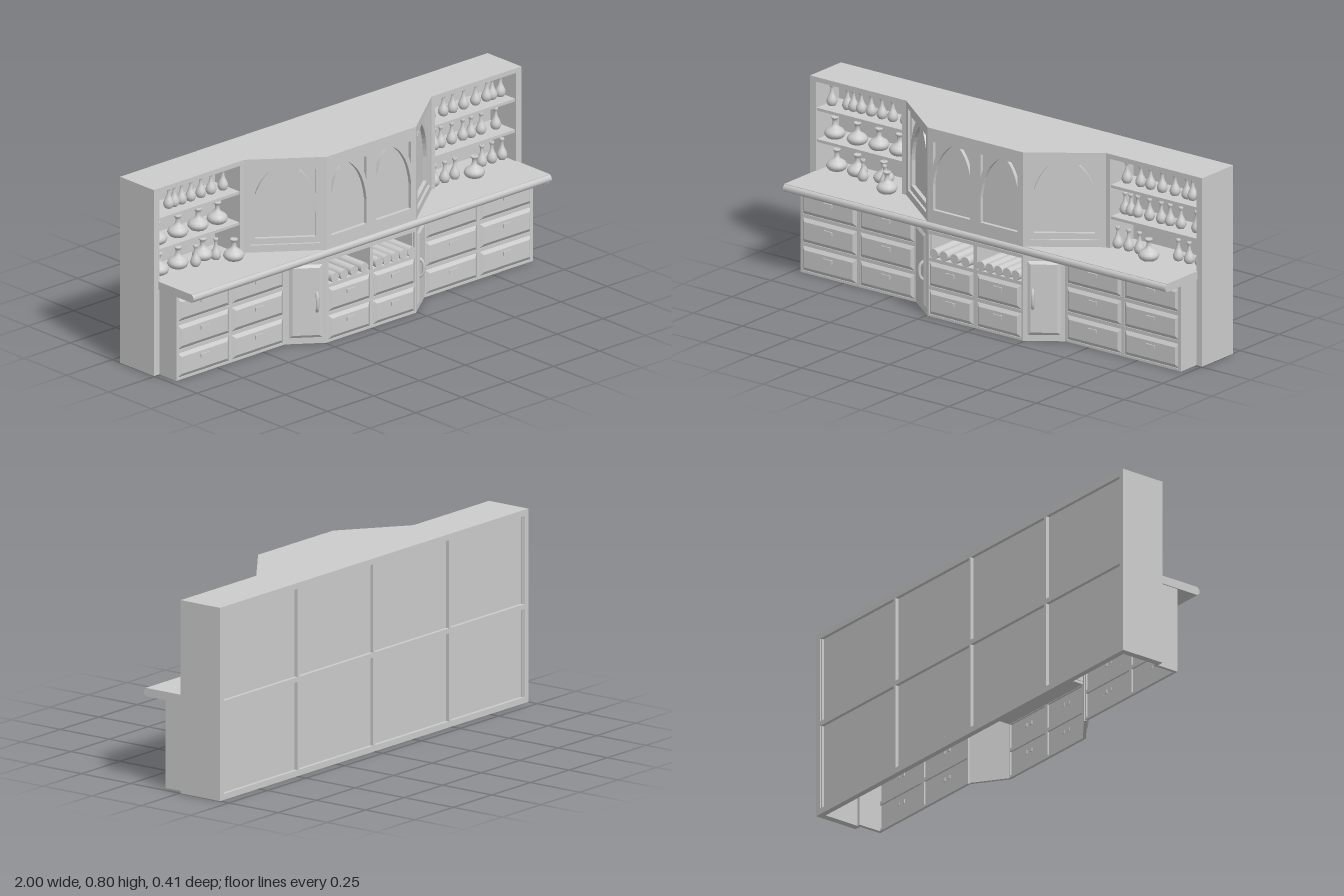
import * as THREE from 'three';

const mat = new THREE.MeshStandardMaterial({ color: 0xcccccc, side: THREE.DoubleSide });

function add(parent, name, geo, x = 0, y = 0, z = 0) {
  const m = new THREE.Mesh(geo, mat);
  m.name = name;
  m.position.set(x, y, z);
  parent.add(m);
  return m;
}

// box given by its min and max corners
function block(parent, name, x0, x1, y0, y1, z0, z1) {
  return add(parent, name, new THREE.BoxGeometry(x1 - x0, y1 - y0, z1 - z0),
    (x0 + x1) / 2, (y0 + y1) / 2, (z0 + z1) / 2);
}

function poly(points) {
  return new THREE.Shape(points.map(p => new THREE.Vector2(...p)));
}
const rect = (x0, x1, y0, y1) => poly([[x0, y0], [x1, y0], [x1, y1], [x0, y1]]);

// flat board with holes, its front at z
function board(parent, name, outline, holes, depth, z) {
  outline.holes = holes;
  const geo = new THREE.ExtrudeGeometry(outline, { depth, bevelEnabled: false, curveSegments: 8 });
  return add(parent, name, geo, 0, 0, z - depth);
}

// upright wall running from one plan point to another; local +z faces out
function wall(parent, name, x0, z0, x1, z1) {
  const g = new THREE.Group();
  g.name = name;
  g.position.set((x0 + x1) / 2, 0, (z0 + z1) / 2);
  g.rotation.y = Math.atan2(z0 - z1, x1 - x0);
  g.userData.width = Math.hypot(x1 - x0, z1 - z0);
  parent.add(g);
  return g;
}

// raised panel with sloping edges
function raisedPanel(parent, name, x0, x1, y0, y1, bevel, rise) {
  const w = x1 - x0, h = y1 - y0;
  const geo = new THREE.BoxGeometry(w, h, rise + 0.004);
  const p = geo.attributes.position;
  for (let i = 0; i < p.count; i++) {
    if (p.getZ(i) > 0) {
      p.setX(i, p.getX(i) * (1 - 2 * bevel / w));
      p.setY(i, p.getY(i) * (1 - 2 * bevel / h));
    }
  }
  geo.computeVertexNormals();
  return add(parent, name, geo, (x0 + x1) / 2, (y0 + y1) / 2, rise / 2 - 0.002);
}

// cupboard door with a pointed arch and two corner cut-outs
function archDoor(parent, cx, w, hw, framed) {
  const g = new THREE.Group();
  g.name = 'archedDoor';
  g.position.x = cx;
  parent.add(g);
  const arch = new THREE.Path();
  arch.moveTo(-hw, 0.455);
  arch.lineTo(hw, 0.455);
  arch.lineTo(hw, 0.56);
  arch.quadraticCurveTo(hw * 0.85, 0.69, 0, 0.745);
  arch.quadraticCurveTo(-hw * 0.85, 0.69, -hw, 0.56);
  arch.closePath();
  const holes = [arch];
  for (const s of [-1, 1]) {
    const corner = new THREE.Path();
    corner.moveTo(s * hw, 0.64);
    corner.quadraticCurveTo(s * hw * 0.82, 0.71, s * hw * 0.45, 0.745);
    corner.lineTo(s * hw, 0.745);
    corner.closePath();
    holes.push(corner);
  }
  const h = w / 2, inset = framed ? 0.01 : 0;
  if (framed) board(g, 'doorFrame', rect(-h, h, 0.4, 0.8), [rect(-h + 0.027, h - 0.027, 0.43, 0.775)], inset, 0);
  board(g, 'archPanel', rect(-h, h, 0.4, 0.8), holes, 0.016, -inset);
  block(g, 'doorBacking', -h, h, 0.4, 0.79, -inset - 0.02, -inset - 0.016);
}

// two columns of drawers, with the top row optionally left open
function drawerWall(g, openTop) {
  const h = g.userData.width / 2;
  const holes = [];
  for (const [x0, x1] of [[-h + 0.008, -0.008], [0.008, h - 0.008]]) {
    [[0.01, 0.115], [0.13, 0.235], [0.25, 0.35]].forEach(([y0, y1], row) => {
      holes.push(rect(x0, x1, y0, y1));
      if (openTop && row === 2) return;
      raisedPanel(g, 'drawerFront', x0, x1, y0, y1, 0.016, 0.007);
      const cx = (x0 + x1) / 2, cy = (y0 + y1) / 2 + 0.016;
      block(g, 'drawerHandle', cx - 0.022, cx + 0.022, cy - 0.008, cy + 0.008, 0.009, 0.013);
      for (const s of [-1, 1])
        block(g, 'handlePost', cx + s * 0.016 - 0.005, cx + s * 0.016 + 0.005, cy - 0.008, cy + 0.008, -0.008, 0.01);
    });
  }
  board(g, 'drawerFrame', rect(-h, h, 0, 0.365), holes, 0.012, 0);
}

const lathe = pts => new THREE.LatheGeometry(new THREE.SplineCurve(pts.map(p => new THREE.Vector2(...p))).getPoints(18), 14);
const flaskGeo = lathe([[0.001, 0], [0.03, 0.001], [0.043, 0.018], [0.036, 0.035], [0.016, 0.049],
  [0.01, 0.062], [0.01, 0.076], [0.016, 0.084], [0.015, 0.09], [0.008, 0.09]]);
const vialGeo = lathe([[0.001, 0], [0.015, 0.002], [0.022, 0.018], [0.018, 0.035], [0.009, 0.054],
  [0.006, 0.075], [0.01, 0.084], [0.009, 0.092], [0.004, 0.092]]);

export function createModel() {
  const model = new THREE.Group();
  model.name = 'apothecaryCabinet';

  // carcass: one-piece top, side walls, panelled back
  const top = add(model, 'cabinetTop', new THREE.ExtrudeGeometry(
    poly([[-1, 0.205], [1, 0.205], [1, 0.005], [0.51, 0.005], [0.243, -0.195], [-0.243, -0.195], [-0.51, 0.005], [-1, 0.005]]),
    { depth: 0.02, bevelEnabled: false }), 0, 0.78, 0);
  top.rotation.x = -Math.PI / 2;
  const backHoles = [];
  for (let c = 0; c < 4; c++) {
    for (const [y0, y1] of [[0.025, 0.39], [0.41, 0.775]]) {
      const x = -0.975 + c * 0.4906;
      backHoles.push(rect(x, x + 0.478, y0, y1));
    }
  }
  board(model, 'backFrame', rect(-1, 1, 0, 0.8), backHoles, 0.015, -0.19);
  block(model, 'backPanel', -0.99, 0.99, 0, 0.79, -0.19, -0.18);

  for (const s of [-1, 1]) {
    const side = (name, a, b, ...rest) => block(model, name, Math.min(s * a, s * b), Math.max(s * a, s * b), ...rest);
    side('sideWall', 0.97, 1, 0, 0.79, -0.2, -0.005);
    side('innerWall', 0.51, 0.53, 0.4, 0.79, -0.18, -0.005);
    side('shelfBack', 0.53, 0.97, 0.4, 0.79, -0.18, -0.155);
    for (const y of [0.53, 0.663]) side('shelf', 0.53, 0.97, y - 0.007, y + 0.005, -0.155, -0.01);
    side('baseSide', 0.955, 0.97, 0, 0.365, -0.02, 0.095);
  }

  // upper cupboards
  for (const s of [-1, 1]) {
    const g = s < 0 ? wall(model, 'angledCupboard', -0.51, -0.005, -0.243, 0.195)
      : wall(model, 'angledCupboard', 0.243, 0.195, 0.51, -0.005);
    archDoor(g, 0, g.userData.width, 0.122, true);
  }
  const mid = wall(model, 'middleCupboard', -0.243, 0.195, 0.243, 0.195);
  for (const s of [-1, 1]) archDoor(mid, s * 0.1215, 0.243, 0.095, false);

  // counter with a rounded front edge
  block(model, 'counter', -0.975, 0.975, 0.365, 0.4, -0.18, 0.192);
  const nose = add(model, 'counterEdge', new THREE.CylinderGeometry(0.018, 0.018, 1.95, 10), 0, 0.382, 0.185);
  nose.rotation.z = Math.PI / 2;

  // drawers
  drawerWall(wall(model, 'drawers', -0.97, 0.095, -0.38, 0.095), false);
  drawerWall(wall(model, 'drawers', 0.38, 0.095, 0.97, 0.095), false);
  drawerWall(wall(model, 'middleDrawers', -0.243, 0.195, 0.243, 0.195), true);

  // open compartments with rolled scrolls
  block(model, 'scrollShelf', -0.24, 0.24, 0.238, 0.25, 0, 0.185);
  block(model, 'scrollBack', -0.24, 0.24, 0.25, 0.365, 0, 0.008);
  for (const x of [-0.237, 0, 0.237]) block(model, 'scrollDivider', x - 0.006, x + 0.006, 0.25, 0.365, 0, 0.185);
  for (const x of [-0.205, -0.155, -0.1, -0.045, 0.034, 0.079, 0.123, 0.168, 0.212]) {
    const r = add(model, 'scroll', new THREE.CylinderGeometry(0.021, 0.021, 0.19, 14), x, 0.273, 0.108);
    r.rotation.x = Math.PI / 2;
  }

  // angled lower doors
  for (const s of [-1, 1]) {
    const g = s < 0 ? wall(model, 'lowerDoor', -0.38, 0.095, -0.243, 0.195)
      : wall(model, 'lowerDoor', 0.243, 0.195, 0.38, 0.095);
    const h = g.userData.width / 2;
    block(g, 'doorBoard', -h, h, 0, 0.365, -0.012, 0);
    raisedPanel(g, 'doorPanel', -h + 0.012, h - 0.012, 0.02, 0.345, 0.018, 0.008);
    const grip = new THREE.CatmullRomCurve3([[0.14, 0.004], [0.155, 0.02], [0.205, 0.02], [0.22, 0.004]]
      .map(([y, z]) => new THREE.Vector3(-s * 0.045, y, z)));
    add(g, 'doorHandle', new THREE.TubeGeometry(grip, 10, 0.007, 6));
  }

  // bottles: [geometry, shelf height, depth, x positions]
  const rows = [
    [vialGeo, 0.668, -0.07, [-0.94, -0.86, -0.83, -0.79, -0.74, -0.685, -0.63, -0.565]],
    [flaskGeo, 0.535, -0.07, [-0.925, -0.81, -0.7, -0.595]],
    [flaskGeo, 0.4, -0.07, [-0.915, -0.81, -0.675]],
    [vialGeo, 0.4, -0.03, [-0.75, -0.64]],
    [flaskGeo, 0.4, 0.02, [-0.588]],
    [vialGeo, 0.668, -0.07, [0.565, 0.635, 0.685, 0.745, 0.81, 0.87, 0.9, 0.945]],
    [vialGeo, 0.535, -0.07, [0.555, 0.585, 0.62, 0.68, 0.74, 0.785, 0.84, 0.92]],
    [vialGeo, 0.4, -0.03, [0.55, 0.605, 0.66]],
    [flaskGeo, 0.4, 0.005, [0.735]],
    [vialGeo, 0.4, -0.06, [0.835, 0.89, 0.945]],
  ];
  for (const [geo, y, z, xs] of rows)
    for (const x of xs) add(model, geo === flaskGeo ? 'flask' : 'vial', geo, x, y, z);

  return model;
}
